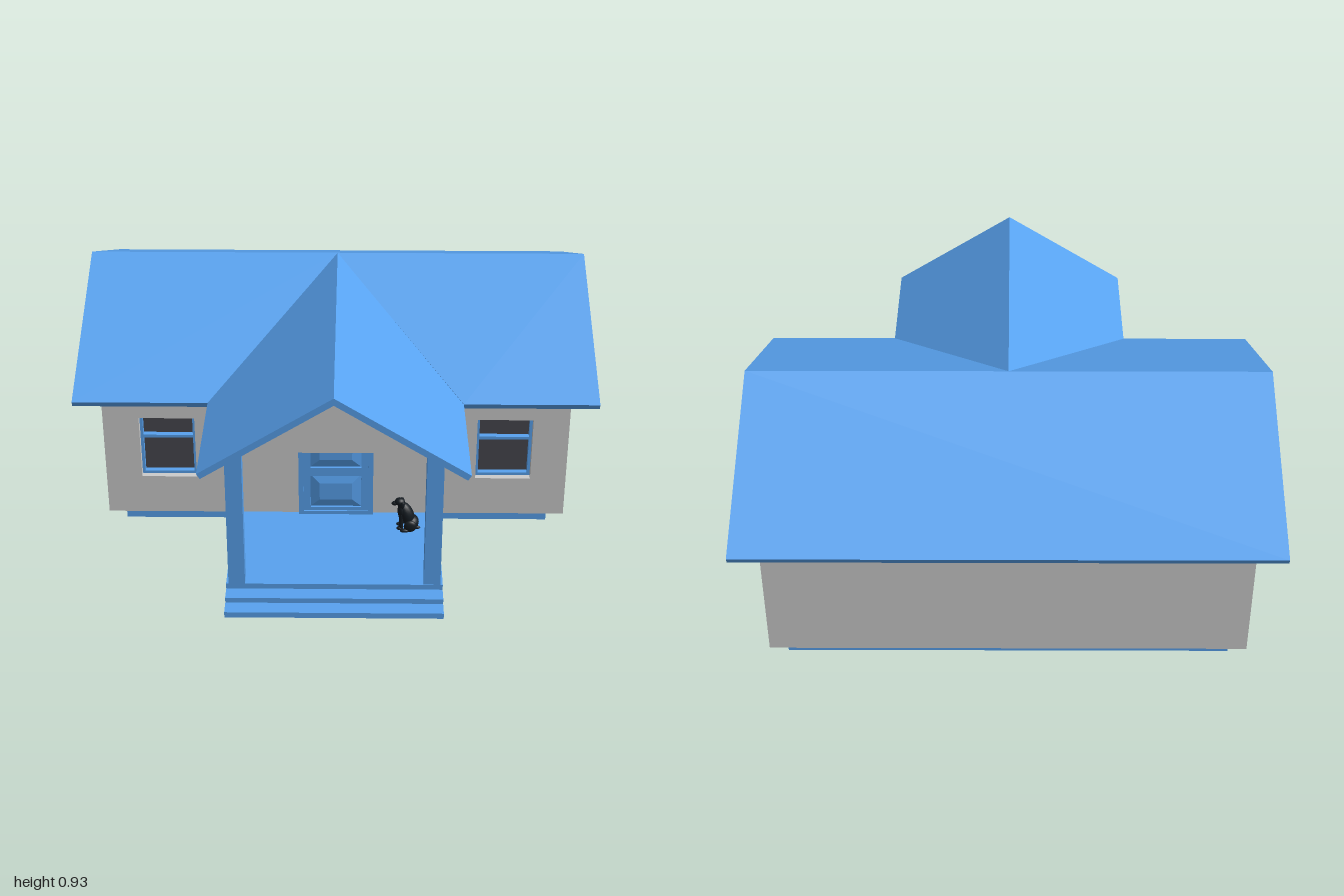
import * as THREE from 'three';

const mat = (color, extra) => new THREE.MeshStandardMaterial({ color, ...extra });
const grey = mat(0xcccccc), blue = mat(0x58a2ef), glass = mat(0x47474f), black = mat(0x141b21);

function add(parent, name, geometry, material, x = 0, y = 0, z = 0) {
  const mesh = new THREE.Mesh(geometry, material);
  mesh.name = name;
  mesh.position.set(x, y, z);
  parent.add(mesh);
  return mesh;
}

// box from its lower and upper corners
function box(parent, name, material, [x0, y0, z0], [x1, y1, z1]) {
  return add(parent, name, new THREE.BoxGeometry(x1 - x0, y1 - y0, z1 - z0), material,
    (x0 + x1) / 2, (y0 + y1) / 2, (z0 + z1) / 2);
}

const polygon = pts => pts.map(p => new THREE.Vector2(...p));
const rect = ([x0, y0, x1, y1]) => polygon([[x0, y0], [x1, y0], [x1, y1], [x0, y1]]);

// flat panel with rectangular holes, front face at z = 0
function panel(outline, holes, depth) {
  const shape = new THREE.Shape(outline);
  shape.holes = holes.map(h => new THREE.Path(rect(h)));
  return new THREE.ExtrudeGeometry(shape, { depth, bevelEnabled: false }).translate(0, 0, -depth);
}

// house measurements
const HALF = 0.905, FRONT = 0.365, BACK = -0.845, BASE = 0.068, EAVE = 0.64;
const RIDGE = 0.928, RIDGE_Z = -0.24, THICK = 0.024, WALL = 0.06;
const MAIN_SLOPE = 0.436, PORCH_SLOPE = 0.635;

// recessed window: frame with a middle rail, pane behind it
function addWindow(wall, [x0, y0, x1, y1]) {
  const g = new THREE.Group();
  g.name = 'window';
  const w = 0.011, rail = y0 + (y1 - y0) * 0.64;
  add(g, 'windowFrame', panel(rect([x0, y0, x1, y1]),
    [[x0 + w, y0 + w, x1 - w, rail - 0.006], [x0 + w, rail + 0.006, x1 - w, y1 - w]], 0.03), blue, 0, 0, -0.025);
  box(g, 'windowPane', glass, [x0 + 0.004, y0 + 0.004, -0.058], [x1 - 0.004, y1 - 0.004, -0.048]);
  wall.add(g);
}

function addWall(parent, name, outline, windows) {
  const g = new THREE.Group();
  g.name = name;
  add(g, 'wallPanel', panel(polygon(outline), windows, WALL), grey);
  windows.forEach(w => addWindow(g, w));
  parent.add(g);
  return g;
}

// sloping roof slab from a plan outline (x, z); normal is the slope's direction
function roofSlab(parent, name, plan, height, nx, ny, nz) {
  const geo = new THREE.ExtrudeGeometry(new THREE.Shape(polygon(plan)), { depth: 1, bevelEnabled: false });
  const p = geo.attributes.position, n = new THREE.Vector3(nx, ny, nz).normalize();
  for (let i = 0; i < p.count; i++) {
    const x = p.getX(i), z = p.getY(i), d = p.getZ(i) * THICK;
    p.setXYZ(i, x - n.x * d, height(x, z) - n.y * d, z - n.z * d);
  }
  geo.computeVertexNormals();
  add(parent, name, geo, blue);
}

function makeDoor() {
  const g = new THREE.Group();
  g.name = 'door';
  add(g, 'doorFrame', panel(rect([-0.147, 0.07, 0.147, 0.465]), [[-0.127, 0.085, 0.127, 0.448]], 0.022), blue, 0, 0, 0.018);
  const panels = [[-0.1, 0.1, 0.1, 0.246], [-0.1, 0.283, 0.1, 0.428]];
  add(g, 'doorLeaf', panel(rect([-0.128, 0.084, 0.128, 0.449]), panels, 0.012), blue, 0, 0, 0.012);
  box(g, 'doorBack', blue, [-0.12, 0.09, -0.01], [0.12, 0.44, 0.002]);
  // raised panels: four-sided frusta
  for (const [x0, y0, x1, y1] of panels) {
    const geo = new THREE.BoxGeometry(x1 - x0, y1 - y0, 0.01);
    const p = geo.attributes.position;
    for (let i = 0; i < p.count; i++) if (p.getZ(i) > 0) {
      p.setX(i, p.getX(i) - Math.sign(p.getX(i)) * 0.036);
      p.setY(i, p.getY(i) - Math.sign(p.getY(i)) * 0.036);
    }
    const flat = geo.toNonIndexed();
    flat.computeVertexNormals();
    add(g, 'doorPanel', flat, blue, (x0 + x1) / 2, (y0 + y1) / 2, 0.007);
  }
  g.position.z = FRONT;
  return g;
}

// sitting dog looking towards -x
function makeDog() {
  const g = new THREE.Group();
  g.name = 'dogStatue';
  const blob = (name, x, y, z, rx, ry, rz, tilt = 0) => {
    const m = add(g, name, new THREE.SphereGeometry(1, 16, 12), black, x, y, z);
    m.scale.set(rx, ry, rz);
    m.rotation.z = tilt;
  };
  blob('torso', 0.002, 0.065, 0, 0.028, 0.056, 0.03, 0.38);
  blob('chest', -0.014, 0.08, 0, 0.021, 0.034, 0.026);
  blob('rump', 0.022, 0.03, 0, 0.028, 0.029, 0.034);
  blob('neck', -0.017, 0.105, 0, 0.016, 0.03, 0.018, 0.2);
  blob('head', -0.026, 0.122, 0, 0.02, 0.016, 0.019);
  blob('snout', -0.044, 0.115, 0, 0.015, 0.009, 0.01, 0.15);
  blob('tail', 0.042, 0.01, 0.012, 0.014, 0.007, 0.007);
  for (const s of [-1, 1]) {
    blob('ear', -0.016, 0.116, s * 0.019, 0.008, 0.015, 0.005);
    blob('haunch', 0.015, 0.026, s * 0.03, 0.025, 0.025, 0.012);
    blob('hindPaw', -0.006, 0.008, s * 0.033, 0.019, 0.008, 0.009);
    add(g, 'frontLeg', new THREE.CylinderGeometry(0.01, 0.007, 0.07, 12), black, -0.02, 0.037, s * 0.015);
    blob('frontPaw', -0.025, 0.008, s * 0.015, 0.013, 0.008, 0.009);
  }
  g.position.set(0.277, 0.065, 0.468);
  return g;
}

export function createModel() {
  const house = new THREE.Group();
  house.name = 'house';

  // foundation, floor and porch steps
  box(house, 'foundation', blue, [-0.845, 0, -0.785], [0.845, 0.069, 0.305]);
  box(house, 'floor', grey, [-0.88, BASE, BACK + 0.02], [0.88, BASE + 0.02, FRONT - 0.02]);
  [[0, 0.023, 0.97], [0.023, 0.044, 0.91], [0.044, 0.066, 0.85]].forEach(([y0, y1, z]) =>
    box(house, 'porchStep', blue, [-0.405, y0, 0.29], [0.405, y1, z]));

  // front and back walls
  const w = HALF - 0.03;
  const flatWall = [[-w, BASE], [w, BASE], [w, EAVE], [-w, EAVE]];
  addWall(house, 'frontWall', flatWall,
    [[-0.765, 0.232, -0.549, 0.497], [0.549, 0.232, 0.765, 0.497]]).position.z = FRONT;
  const back = addWall(house, 'backWall', flatWall, []);
  back.position.z = BACK;
  back.rotation.y = Math.PI;

  // gabled side walls, mirrored
  const sideWindows = [[0.073, 0.264], [-0.35, -0.127], [-0.746, -0.554]];
  for (const s of [1, -1]) {
    const outline = [[FRONT, BASE], [FRONT, EAVE], [RIDGE_Z, 0.904], [BACK, EAVE], [BACK, BASE]].map(([z, y]) => [-s * z, y]);
    const holes = sideWindows.map(([a, b]) => [Math.min(-s * a, -s * b), 0.232, Math.max(-s * a, -s * b), 0.497]);
    const side = addWall(house, s > 0 ? 'leftWall' : 'rightWall', outline, holes);
    side.position.x = s * HALF;
    side.rotation.y = s * Math.PI / 2;
  }

  // main roof; the front slope is notched along the porch valleys
  const E = 0.463, P = 0.485;
  const mainHeight = (x, z) => RIDGE - Math.abs(z - RIDGE_Z) * MAIN_SLOPE;
  roofSlab(house, 'frontRoof', [[-1, RIDGE_Z], [-1, E], [-P, E], [0, RIDGE_Z + 0.001], [P, E], [1, E], [1, RIDGE_Z]],
    mainHeight, 0, 1, MAIN_SLOPE);
  roofSlab(house, 'backRoof', [[-1, RIDGE_Z], [1, RIDGE_Z], [1, -0.966], [-1, -0.966]], mainHeight, 0, 1, -MAIN_SLOPE);

  // porch roof, gable and columns
  for (const s of [1, -1]) {
    roofSlab(house, 'porchRoof', [[0, 0.966], [s * P, 0.966], [s * P, E], [0, RIDGE_Z]],
      x => RIDGE - Math.abs(x) * PORCH_SLOPE, s * PORCH_SLOPE, 1, 0);
    const x = s * 0.365;
    box(house, 'porchColumn', blue, [x - 0.031, 0.066, 0.793], [x + 0.031, EAVE, 0.849]);
  }
  add(house, 'porchGable', panel(polygon([[-0.4, EAVE], [0.4, EAVE], [0, 0.9]]), [], 0.85 - FRONT + 0.02), grey, 0, 0, 0.85);

  house.add(makeDoor(), makeDog());
  return house;
}
